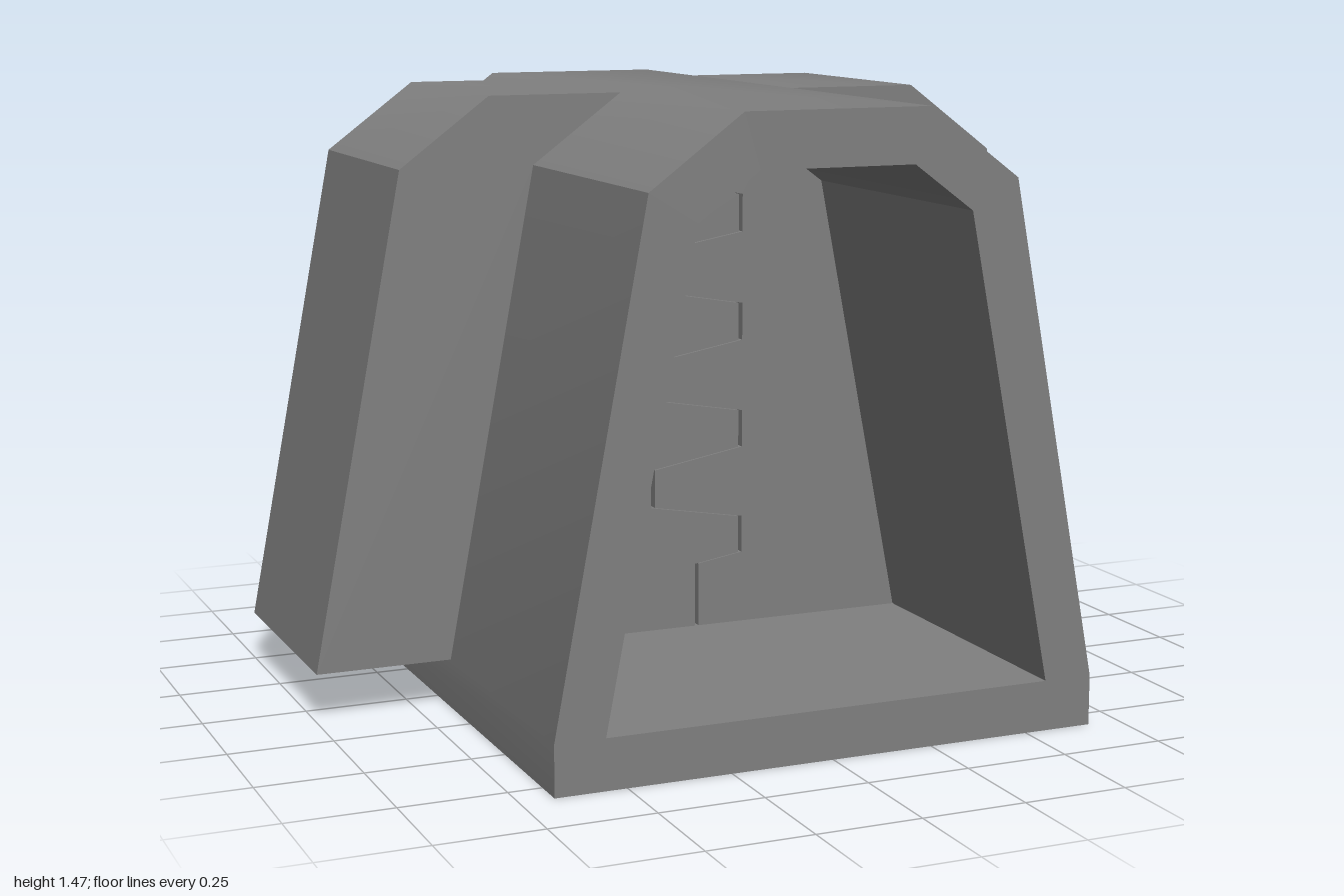
import * as THREE from 'three';
import { toCreasedNormals } from 'three/addons/utils/BufferGeometryUtils.js';

const material = new THREE.MeshStandardMaterial({ color: 0x808080 });
const toShape = pts => new THREE.Shape(pts.map(([x, y]) => new THREE.Vector2(x, y)));
const mirror = pts => pts.map(([x, y]) => [-x, y]).reverse();
const symmetric = half => toShape([...half, ...mirror(half)]);

// Extrude a front outline between two depths; roof bevels shade smoothly, sharper corners stay crisp
function slab(name, shape, zBack, zFront) {
  const geo = new THREE.ExtrudeGeometry(shape, { depth: zFront - zBack, bevelEnabled: false });
  geo.translate(0, 0, zBack);
  const mesh = new THREE.Mesh(toCreasedNormals(geo, THREE.MathUtils.degToRad(40)), material);
  mesh.name = name;
  return mesh;
}

export function createModel() {
  const group = new THREE.Group();
  group.name = 'slidingDoorway';
  const back = -0.827, front = 0.827;
  const housingBack = -0.5, housingFront = 0.11;
  const doorBack = -0.45, doorFront = 0.06;

  // Tunnel frame, open at both ends
  const frame = symmetric([[0.67, 0], [0.67, 0.12], [0.447, 1.3], [0.225, 1.465]]);
  const opening = [[0.55, 0.12], [0.333, 1.23], [0.187, 1.338]];
  frame.holes.push(symmetric(opening));
  group.add(slab('tunnelFrame', frame, back, front));

  // Side housings that the doors slide into
  const wing = [[0.67, 0.12], [1, 0.12], [0.775, 1.3], [0.555, 1.465], [0.225, 1.465], [0.447, 1.3]];
  group.add(slab('leftHousing', toShape(wing), housingBack, housingFront));
  group.add(slab('rightHousing', toShape(mirror(wing)), housingBack, housingFront));

  // Toothed seam between the doors, from top to bottom
  const seam = [[-0.01, 1.338], [-0.01, 1.23]];
  for (let i = 0; i < 4; i++) {
    const y = 1.205 - i * 0.271;
    seam.push([0.108, y], [0.108, y - 0.093]);
    if (i < 3) seam.push([-0.128, y - 0.135], [-0.128, y - 0.23]);
  }
  seam.push([-0.01, 0.28], [-0.01, 0.12]);

  // Interlocking doors set back inside the tunnel, separated by a narrow gap
  const gap = 0.01;
  const leftSeam = seam.map(([x, y]) => [x + gap, y]);
  group.add(slab('leftDoor', toShape([...opening, ...leftSeam]), doorBack, doorFront));
  group.add(slab('rightDoor', toShape([...mirror(opening), ...[...seam].reverse()]), doorBack, doorFront));

  return group;
}
